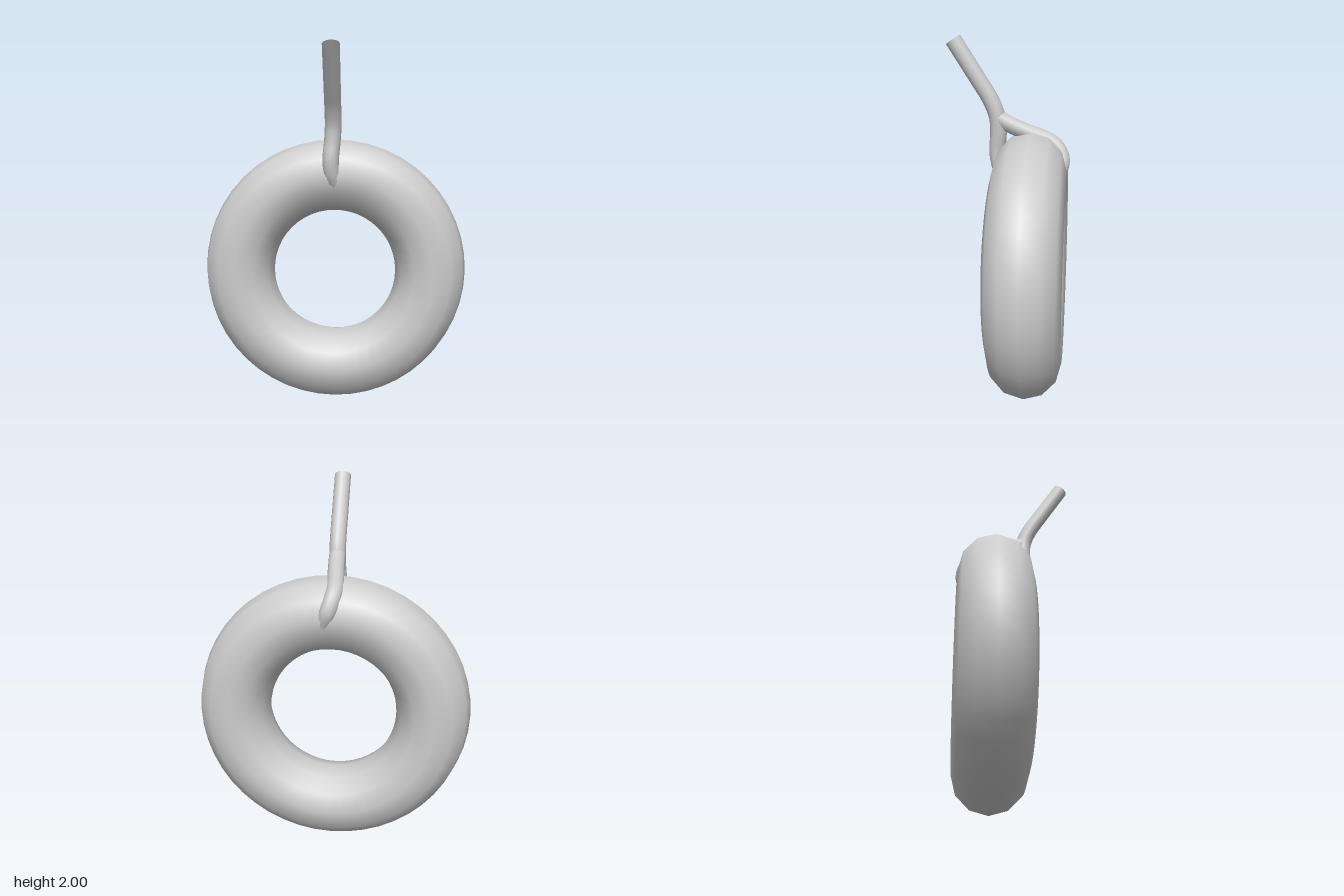
import * as THREE from 'three';

export function createModel() {
  const group = new THREE.Group();
  const grey = new THREE.MeshStandardMaterial({ color: 0xcccccc, side: THREE.DoubleSide });
  grey.name = 'plain grey';

  function add(name, geometry) {
    const mesh = new THREE.Mesh(geometry, grey);
    mesh.name = name;
    group.add(mesh);
    return mesh;
  }

  // Open-ended rope swept through a few points
  function rope(name, points, segments) {
    const curve = new THREE.CatmullRomCurve3(points.map((p) => new THREE.Vector3(...p)));
    return add(name, new THREE.TubeGeometry(curve, segments, 0.045, 12, false));
  }

  // Upright ring
  add('ring', new THREE.TorusGeometry(0.55, 0.2, 12, 48)).position.set(0, 0.75, -0.117);

  // Hanging rope, its lower end sinking into the front of the ring
  rope('hangingRope', [
    [0, 1.978, 0.293],
    [0, 1.77, 0.16],
    [0, 1.67, 0.098],
    [0, 1.58, 0.063],
    [-0.005, 1.49, 0.057],
    [-0.014, 1.39, 0.064],
    [-0.008, 1.31, 0.05],
    [0.015, 1.23, 0.01],
  ], 40);

  // Strand going over the top and sinking into the back of the ring
  rope('backStrand', [
    [0, 1.575, 0.06],
    [-0.003, 1.545, 0.01],
    [-0.012, 1.5, -0.09],
    [-0.024, 1.45, -0.215],
    [-0.016, 1.405, -0.266],
    [0.003, 1.345, -0.288],
    [0.03, 1.27, -0.265],
  ], 32);

  return group;
}
